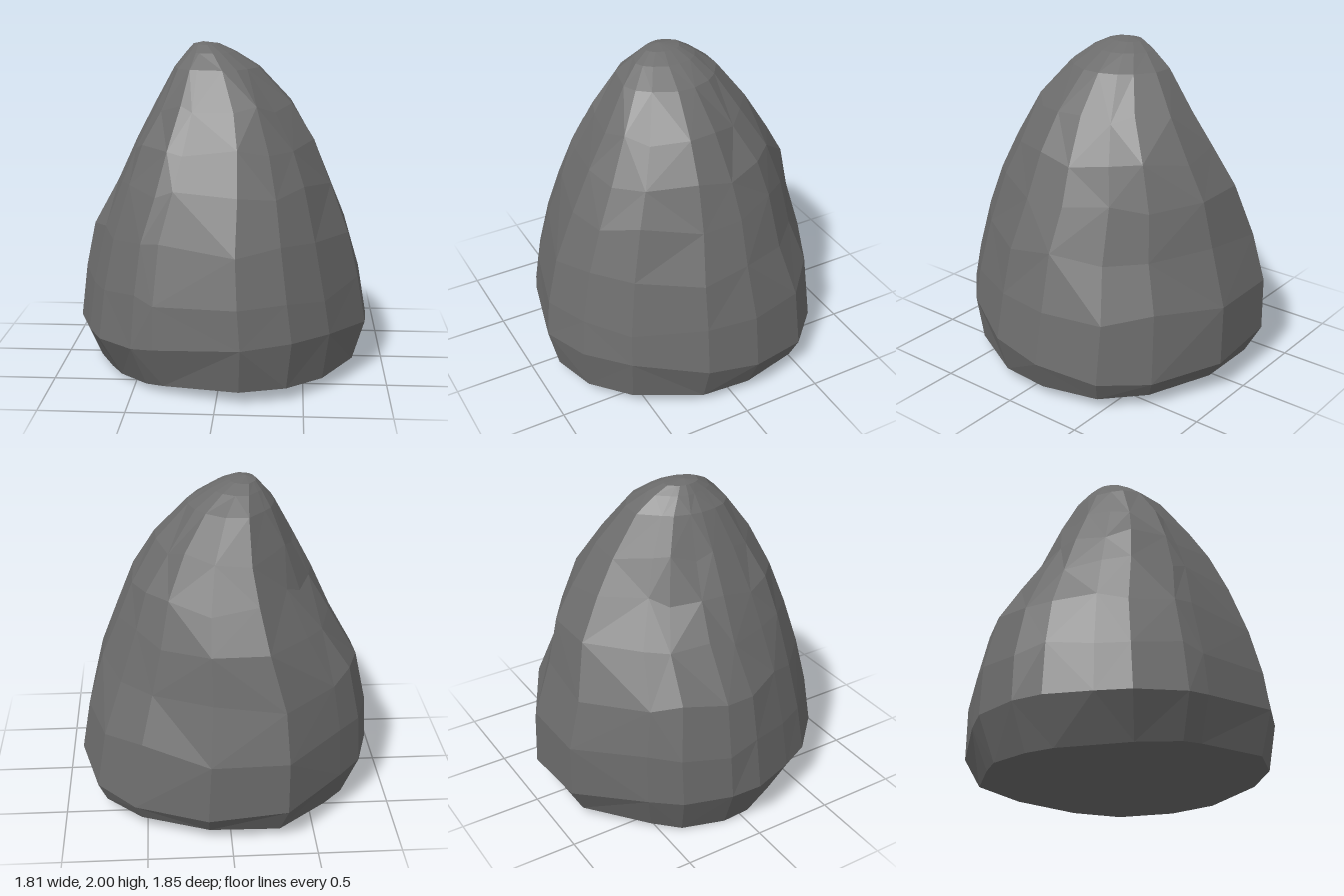
import * as THREE from 'three';

// Plan outline of the boulder at its widest, as x, z pairs
const OUTLINE = [
  [-0.33, -0.92], [0.14, -0.925], [0.57, -0.73], [0.80, -0.5], [0.905, -0.13], [0.88, 0.2],
  [0.65, 0.6], [0.43, 0.82], [0.14, 0.925], [-0.37, 0.79], [-0.5, 0.74], [-0.72, 0.52],
  [-0.81, 0.33], [-0.905, 0.06], [-0.905, -0.14], [-0.82, -0.43], [-0.68, -0.59],
];

// Directions (angle in plan) in which the corners bulge or sink
const CORNERS = [2.52, -0.7, 0.75, -2.5];

// Levels: y, xMin, xMax, zMin, zMax, then the bulge of each corner
const LEVELS = [
  [0.03, -0.80, 0.81, -0.83, 0.85, -0.06, 0.05, 0.05, 0],
  [0.27, -0.905, 0.905, -0.92, 0.925, 0, 0, 0, 0],
  [0.57, -0.885, 0.86, -0.915, 0.90, -0.03, -0.03, 0, 0],
  [0.88, -0.82, 0.785, -0.83, 0.82, -0.04, -0.09, 0, 0],
  [1.17, -0.64, 0.665, -0.76, 0.70, 0.07, -0.09, 0.03, -0.03],
  [1.40, -0.52, 0.565, -0.635, 0.585, 0.14, -0.06, 0.03, -0.09],
  [1.63, -0.40, 0.43, -0.49, 0.46, 0.13, -0.13, 0, -0.04],
  [1.85, -0.29, 0.22, -0.32, 0.30, 0.12, -0.08, 0, 0],
  [1.94, -0.23, 0.07, -0.20, 0.19, 0, 0, 0, 0],
  [1.985, -0.19, -0.03, -0.12, 0.10, 0, 0, 0, 0],
];

function makeRing([y, x0, x1, z0, z1, ...bulge], k) {
  return OUTLINE.map(([ox, oz], i) => {
    let s = 1;
    CORNERS.forEach((angle, c) => {
      s += bulge[c] * Math.max(0, Math.cos(Math.atan2(oz, ox) - angle)) ** 6;
    });
    // the base tilts, the lower edge is higher at the front, middle levels wander a little
    let dy = 0;
    if (k === 1) dy = 0.07 * oz + 0.1 * ox * oz;
    else if (k > 1 && k < 7) {
      dy = 0.025 * Math.sin(i * 2.3 + k * 1.7);
      s -= dy * 0.35; // follow the slope when a point slides up or down
    }
    const x = s * ((x0 + x1) / 2 + (ox / 0.905) * (x1 - x0) / 2);
    const z = s * ((z0 + z1) / 2 + (oz / 0.925) * (z1 - z0) / 2);
    if (k === 0) dy = 0.035 * x + 0.06 * z * z;
    return [x, y + dy, z];
  });
}

function makeRock() {
  const rings = LEVELS.map(makeRing);
  const n = OUTLINE.length;
  const pos = [];
  const tri = (a, b, c) => pos.push(...a, ...b, ...c);
  const base = [-0.2, 0.01, 0];
  const peak = [-0.13, 2, 0];
  const top = rings[rings.length - 1];
  for (let i = 0; i < n; i++) {
    const j = (i + 1) % n;
    for (let k = 0; k < rings.length - 1; k++) {
      const a = rings[k][i], b = rings[k][j], c = rings[k + 1][j], d = rings[k + 1][i];
      if ((i + k) % 2) {
        tri(a, d, c);
        tri(a, c, b);
      } else {
        tri(a, d, b);
        tri(b, d, c);
      }
    }
    tri(base, rings[0][i], rings[0][j]);
    tri(peak, top[j], top[i]);
  }
  const g = new THREE.BufferGeometry();
  g.setAttribute('position', new THREE.Float32BufferAttribute(pos, 3));
  g.computeVertexNormals(); // unshared corners give flat facets
  return g;
}

export function createModel() {
  const group = new THREE.Group();
  group.name = 'boulder';
  const stone = new THREE.MeshStandardMaterial({ color: 0x6c6c6c });
  stone.name = 'stone grey';
  stone.flatShading = true;
  const rock = new THREE.Mesh(makeRock(), stone);
  rock.name = 'rock';
  group.add(rock);
  return group;
}
